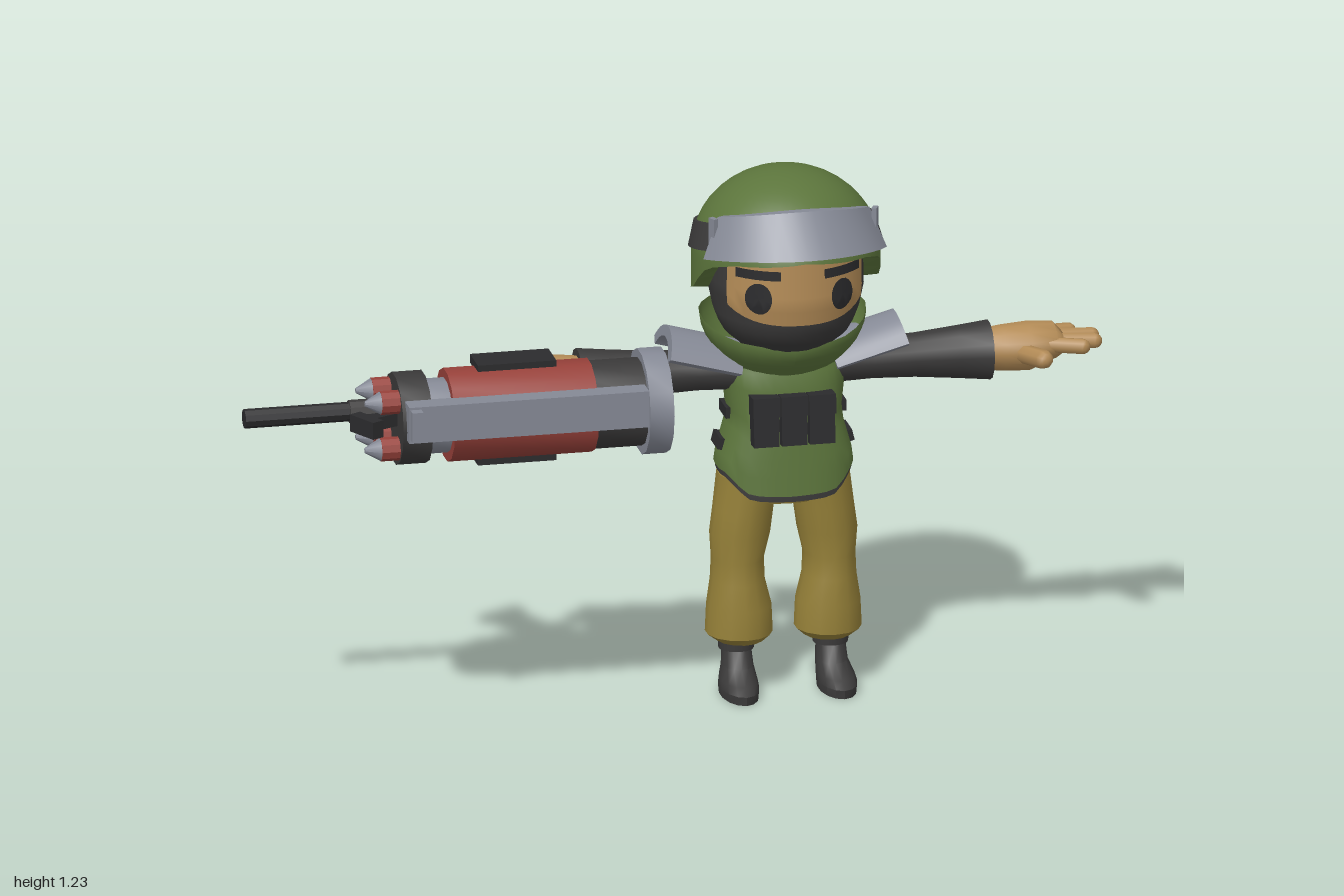
import * as THREE from 'three';
import { toCreasedNormals } from 'three/addons/utils/BufferGeometryUtils.js';
import { ParametricGeometry } from 'three/addons/geometries/ParametricGeometry.js';

const mat = (name, color, side = THREE.FrontSide) => {
  const m = new THREE.MeshStandardMaterial({ color, side });
  m.name = name;
  return m;
};
const { sin, cos, PI, abs, sqrt, max } = Math;

export function createModel() {
  const green = mat('olive green', 0x5c753c, THREE.DoubleSide);
  const grey = mat('steel grey', 0x858995);
  const dark = mat('charcoal cloth', 0x3b3a3a, THREE.DoubleSide);
  const black = mat('black', 0x2b2b2d, THREE.DoubleSide);
  const tan = mat('khaki', 0x968139);
  const skin = mat('skin', 0xb48c57, THREE.DoubleSide);
  const red = mat('red', 0x97413a);

  const model = new THREE.Group();
  model.name = 'soldier';
  const body = new THREE.Group();
  body.name = 'body';
  body.position.x = 0.27;
  const gun = new THREE.Group();
  gun.name = 'launcher';
  model.add(body, gun);

  const add = (parent, name, geo, material, p = [0, 0, 0], r = [0, 0, 0]) => {
    const m = new THREE.Mesh(geo, material);
    m.name = name;
    m.position.set(...p);
    m.rotation.set(...r);
    parent.add(m);
    return m;
  };
  const box = (parent, name, size, material, p, r) =>
    add(parent, name, new THREE.BoxGeometry(...size), material, p, r);
  // piecewise linear lookup in a list of [key, value]
  const pick = (t, x) => {
    if (x <= t[0][0]) return t[0][1];
    for (let i = 1; i < t.length; i++) if (x <= t[i][0]) {
      const k = (x - t[i - 1][0]) / (t[i][0] - t[i - 1][0]);
      return t[i - 1][1] + k * (t[i][1] - t[i - 1][1]);
    }
    return t[t.length - 1][1];
  };
  // surface over an angle range (0 = front) and a 0..1 height
  const sheet = (a0, a1, na, nv, fn) =>
    new ParametricGeometry((u, v, t) => t.set(...fn(a0 + (a1 - a0) * u, v)), na, nv);
  // closed solid from rings [y, cx, cz, rx, rz]
  const loft = (rings, n = 14) => {
    const pos = [], idx = [], last = rings.length - 1;
    for (const [y, cx, cz, rx, rz] of rings)
      for (let j = 0; j < n; j++) {
        const a = j / n * 2 * PI;
        pos.push(cx + rx * sin(a), y, cz + rz * cos(a));
      }
    for (const i of [0, last]) pos.push(rings[i][1], rings[i][0], rings[i][2]);
    const lo = rings.length * n, hi = lo + 1;
    for (let j = 0; j < n; j++) {
      const k = (j + 1) % n;
      for (let i = 0; i < last; i++) {
        const a = i * n + j, b = i * n + k;
        idx.push(a, b, b + n, a, b + n, a + n);
      }
      idx.push(lo, k, j, hi, last * n + j, last * n + k);
    }
    const g = new THREE.BufferGeometry();
    g.setAttribute('position', new THREE.Float32BufferAttribute(pos, 3));
    g.setIndex(idx);
    return toCreasedNormals(g, 0.75);
  };
  // rounded rod between two points
  const rod = (parent, name, a, b, r, material) => {
    const p = new THREE.Vector3(...a), q = new THREE.Vector3(...b), d = q.clone().sub(p);
    const m = add(parent, name, new THREE.CapsuleGeometry(r, d.length(), 4, 8), material);
    m.position.copy(p).add(q).multiplyScalar(0.5);
    m.quaternion.setFromUnitVectors(new THREE.Vector3(0, 1, 0), d.normalize());
  };

  // ---- head ----
  const headT = [[0.78, 0.4], [0.83, 0.62], [0.86, 0.82], [0.9, 0.93], [0.96, 1], [1.14, 0.98]];
  const head = (a, y, off = 0) => {
    const f = pick(headT, y);
    return [(0.175 * f + off) * sin(a), y, -0.055 + (0.178 * f + off) * cos(a)];
  };
  add(body, 'balaclava', sheet(0, 2 * PI, 28, 14, (a, v) => head(a, 0.78 + 0.36 * v)), dark);
  add(body, 'face', sheet(-1.05, 1.05, 16, 6, (a, v) => {
    const lo = 0.912 + 0.03 * abs(a) ** 3;
    return head(a, lo + (1.11 - lo) * v, 0.004);
  }), skin);
  const onFace = (x, y, off) => head(Math.asin(x / 0.179), y, off);
  for (const s of [-1, 1]) {
    add(body, 'eye', sheet(0, 2 * PI, 18, 2, (a, v) =>
      onFace(s * 0.094 + 0.027 * v * sin(a), 0.977 - 0.037 * v * cos(a), 0.008)), black);
    add(body, 'eyebrow', sheet(-1, 1, 5, 1, (u, v) =>
      onFace(s * 0.092 + 0.044 * u, 1.024 + 0.022 * v, 0.013)), black);
  }

  // ---- helmet ----
  const rimT = [[0, 1.078], [0.8, 1.06], [1.2, 1.035], [1.62, 0.955], [PI, 0.915]];
  const wrap = a => PI - abs(PI - abs(a));
  const dome = (a, y, off = 0) => {
    const h = max(0, (y - 1.04) / 0.19);
    const f = sqrt(max(0, 1 - h * h)) + (y < 1.04 ? (1.04 - y) * 0.05 : 0);
    const nose = 0.016 * max(0, cos(a)) ** 4 * max(0, 1 - h);
    return [(0.212 * f + off) * sin(a), y, -0.053 + (0.222 * f + off + nose) * cos(a)];
  };
  add(body, 'helmet', sheet(0, 2 * PI, 40, 14, (a, v) => {
    const lo = pick(rimT, wrap(a));
    return dome(a, lo + (1.23 - lo) * sin(v * PI / 2));
  }), green);
  add(body, 'helmetRim', sheet(0, 2 * PI, 40, 1, (a, v) => {
    const y = pick(rimT, wrap(a));
    return v < 0.5 ? head(a, y, -0.005) : dome(a, y);
  }), green);
  // raised strip around the helmet, sloping down to the back
  const band = (a0, a1, n, half, off) => toCreasedNormals(sheet(a0, a1, n, 3, (a, v) => {
    const k = Math.round(v * 3), mid = 1.098 + 0.22 * (-0.05 + 0.222 * cos(a));
    return dome(a, mid + (k > 1 ? half : -half), k === 1 || k === 2 ? off : -0.01);
  }), 0.6);
  add(body, 'helmetBand', band(0.9, 2 * PI - 0.9, 30, 0.03, 0.007), dark);
  const goggles = grey.clone();
  goggles.name = 'goggle grey';
  goggles.side = THREE.DoubleSide;
  add(body, 'goggles', band(-1.15, 1.15, 14, 0.046, 0.02), goggles);
  for (const s of [-1, 1])
    box(body, 'goggleEnd', [0.02, 0.09, 0.012], goggles, [s * 0.185, 1.108, 0.035], [0, s * 1.15, 0]);

  // ---- collar and vest ----
  const collarT = [[0, 0.835], [0.7, 0.85], [1.6, 0.89], [PI, 0.9]];
  add(body, 'collar', sheet(0, 2 * PI, 28, 5, (a, v) => {
    const hi = pick(collarT, wrap(a)), y = 0.755 + (hi - 0.755) * v;
    const f = 0.6 + 0.4 * sin(v * PI / 2);
    return [0.19 * f * sin(a), y, -0.09 + 0.148 * f * cos(a)];
  }), green);
  const vestX = [[0.5, 0.156], [0.55, 0.156], [0.65, 0.128], [0.74, 0.138], [0.8, 0.12]];
  const vestZ = [[0.48, 0.112], [0.6, 0.101], [0.74, 0.086], [0.8, 0.07]];
  const vestLow = [[0, 0.48], [0.55, 0.485], [1.1, 0.53], [PI, 0.54]];
  const soft = x => Math.sign(x) * abs(x) ** 0.75;
  const torso = (a, y, off = 0) => [(pick(vestX, y) + off) * soft(sin(a)), y,
    -0.08 + (pick(vestZ, y) + off) * soft(cos(a))];
  add(body, 'vest', sheet(0, 2 * PI, 32, 8, (a, v) => {
    const lo = pick(vestLow, wrap(a));
    return torso(a, lo + (0.8 - lo) * v);
  }), green);
  add(body, 'belt', sheet(0, 2 * PI, 32, 1, (a, v) => {
    const lo = pick(vestLow, wrap(a));
    return torso(a, lo - 0.014 + 0.03 * v, -0.004);
  }), dark);
  for (const i of [-1, 0, 1]) {
    box(body, 'pouch', [0.058, 0.105, 0.05], black, [i * 0.064, 0.655, 0.015], [-0.08, 0, 0]);
    box(body, 'pouchFlap', [0.062, 0.045, 0.055], black, [i * 0.064, 0.695, 0.016], [-0.08, 0, 0]);
  }
  add(body, 'hips', loft([[0.45, 0, -0.085, 0.1, 0.075], [0.49, 0, -0.085, 0.145, 0.09],
    [0.55, 0, -0.083, 0.145, 0.092]], 18), tan);

  // ---- limbs, both sides ----
  const padShape = new THREE.Shape();
  padShape.absarc(0, 0, 0.102, PI / 6, PI * 5 / 6, false);
  padShape.absarc(0, 0, 0.077, PI * 5 / 6, PI / 6, true);
  const padGeo = toCreasedNormals(new THREE.ExtrudeGeometry(padShape,
    { depth: 0.17, bevelEnabled: false, curveSegments: 8 }).translate(0, 0, -0.085).rotateY(PI / 2), 0.6);

  for (const s of [-1, 1]) {
    for (const y of [0.66, 0.587])
      box(body, 'sideStrap', [0.016, 0.026, 0.07], black,
        [s * (pick(vestX, y) + 0.001), y, -0.085], [0, 0, s * (y > 0.6 ? 0 : 0.25)]);
    // trousers and boots
    const x = s * 0.1;
    add(body, 'trouserLeg', loft([[0.118, x, -0.08, 0.055, 0.062], [0.135, x * 1.02, -0.08, 0.076, 0.08],
      [0.2, x * 1.02, -0.08, 0.073, 0.08], [0.26, x * 1.05, -0.082, 0.061, 0.076], [0.31, x * 1.05, -0.082, 0.059, 0.07],
      [0.37, x, -0.08, 0.068, 0.077], [0.43, x * 0.92, -0.082, 0.068, 0.08],
      [0.51, x * 0.8, -0.085, 0.07, 0.092]]), tan);
    const fx = s * 0.108;
    add(body, 'boot', loft([[0, fx * 1.04, -0.034, 0.042, 0.088], [0.02, fx * 1.04, -0.034, 0.044, 0.09],
      [0.035, fx * 1.03, -0.045, 0.042, 0.078], [0.06, fx, -0.07, 0.036, 0.051],
      [0.1, fx, -0.08, 0.033, 0.038]]), dark);
    add(body, 'bootCuff', new THREE.CylinderGeometry(0.041, 0.04, 0.028, 14), dark, [fx, 0.11, -0.08]);
    // sleeve and shoulder pad
    add(body, 'sleeve', loft([[0.08, 0, 0, 0.05, 0.055], [0.2, 0, 0, 0.046, 0.052],
      [0.3, 0, 0, 0.05, 0.05], [0.4, 0, 0, 0.06, 0.057], [0.472, 0, 0, 0.068, 0.065]]),
      dark, [0, 0.757, -0.082], [0, 0, -s * PI / 2]);
    add(body, 'shoulderPad', padGeo, grey, [s * 0.205, 0.738, -0.095], [0, 0, s * 0.27]);
    // hand
    add(body, 'palm', loft([[0.45, 0, -0.08, 0.046, 0.05], [0.5, 0, -0.08, 0.052, 0.056],
      [0.56, 0, -0.082, 0.055, 0.067], [0.62, -s * 0.01, -0.085, 0.04, 0.06], [0.64, -s * 0.005, -0.085, 0.022, 0.045]]),
      skin, [0, 0.76, 0], [0, 0, -s * PI / 2]);
    const tips = [[0.667, -0.145], [0.711, -0.103], [0.709, -0.062], [0.675, -0.028]];
    tips.forEach(([tx, tz], i) => {
      rod(body, 'finger', [s * 0.57, 0.775, -0.118 + i * 0.024], [s * tx, 0.767, tz], 0.018, skin);
    });
    rod(body, 'thumb', [s * 0.53, 0.755, -0.06], [s * 0.572, 0.765, 0.035], 0.022, skin);
  }

  // ---- launcher, lying along x ----
  const cy = 0.765, cz = 0.128;
  const tube = (name, x0, x1, r, material, y = cy, z = cz, n = 14, tip = r) =>
    add(gun, name, toCreasedNormals(new THREE.CylinderGeometry(tip, r, x1 - x0, n), 0.6), material,
      [(x0 + x1) / 2, y, z], [0, 0, PI / 2]);
  tube('rearRing', -0.105, -0.05, 0.12, grey);
  tube('rearSection', -0.225, -0.1, 0.1, dark);
  tube('drum', -0.55, -0.22, 0.106, red);
  tube('neck', -0.61, -0.54, 0.085, grey);
  tube('frontCollar', -0.668, -0.6, 0.105, dark);
  for (const s of [-1, 1]) {
    box(gun, 'drumPanel', [0.18, 0.02, 0.085], black, [-0.39, cy + s * 0.108, 0.108]);
    for (const q of [-1, 1]) {
      const y = cy + s * 0.055, z = cz + q * 0.048;
      tube('rocketBody', -0.71, -0.66, 0.027, red, y, z, 10);
      tube('rocketTip', -0.745, -0.708, 0.027, grey, y, z, 10, 0.006);
    }
  }
  box(gun, 'sideRail', [0.55, 0.085, 0.05], grey, [-0.385, 0.788, 0.23]);
  box(gun, 'railTab', [0.025, 0.07, 0.05], grey, [-0.645, 0.79, 0.253]);
  tube('barrel', -1, -0.66, 0.022, black, 0.77, 0.075, 10);
  tube('barrelSleeve', -0.76, -0.67, 0.026, dark, 0.77, 0.075, 10);
  box(gun, 'frontSight', [0.03, 0.04, 0.08], black, [-0.745, 0.775, 0.195], [0, 0.5, 0]);
  box(gun, 'sightArm', [0.09, 0.03, 0.03], black, [-0.71, 0.775, 0.17], [0, 0.4, 0]);

  // receiver, magazine, grip and stock
  box(gun, 'receiver', [0.2, 0.06, 0.07], grey, [-0.53, 0.735, 0.02]);
  box(gun, 'magazineWell', [0.11, 0.055, 0.09], grey, [-0.5, 0.725, -0.03], [0, 0.3, 0]);
  const mag = new THREE.Group();
  mag.name = 'magazine';
  mag.position.set(-0.535, 0.708, -0.115);
  mag.rotation.set(0.12, 0.48, 0);
  gun.add(mag);
  box(mag, 'magazineBody', [0.075, 0.04, 0.15], dark);
  box(mag, 'magazineBase', [0.095, 0.048, 0.04], grey, [0, 0, -0.075]);
  for (const x of [-0.022, 0.022])
    box(mag, 'magazineRib', [0.012, 0.05, 0.14], grey, [x, 0, 0]);
  box(gun, 'grip', [0.045, 0.04, 0.11], black, [-0.37, 0.73, -0.02], [0, -0.35, 0]);
  const stock = new THREE.Shape([[-0.36, -0.05], [-0.36, 0], [-0.085, 0.03], [-0.085, -0.06]]
    .map(p => new THREE.Vector2(...p)));
  add(gun, 'stock', new THREE.ExtrudeGeometry(stock, { depth: 0.05, bevelEnabled: false })
    .rotateX(-PI / 2), black, [0, 0.725, 0]);
  return model;
}
